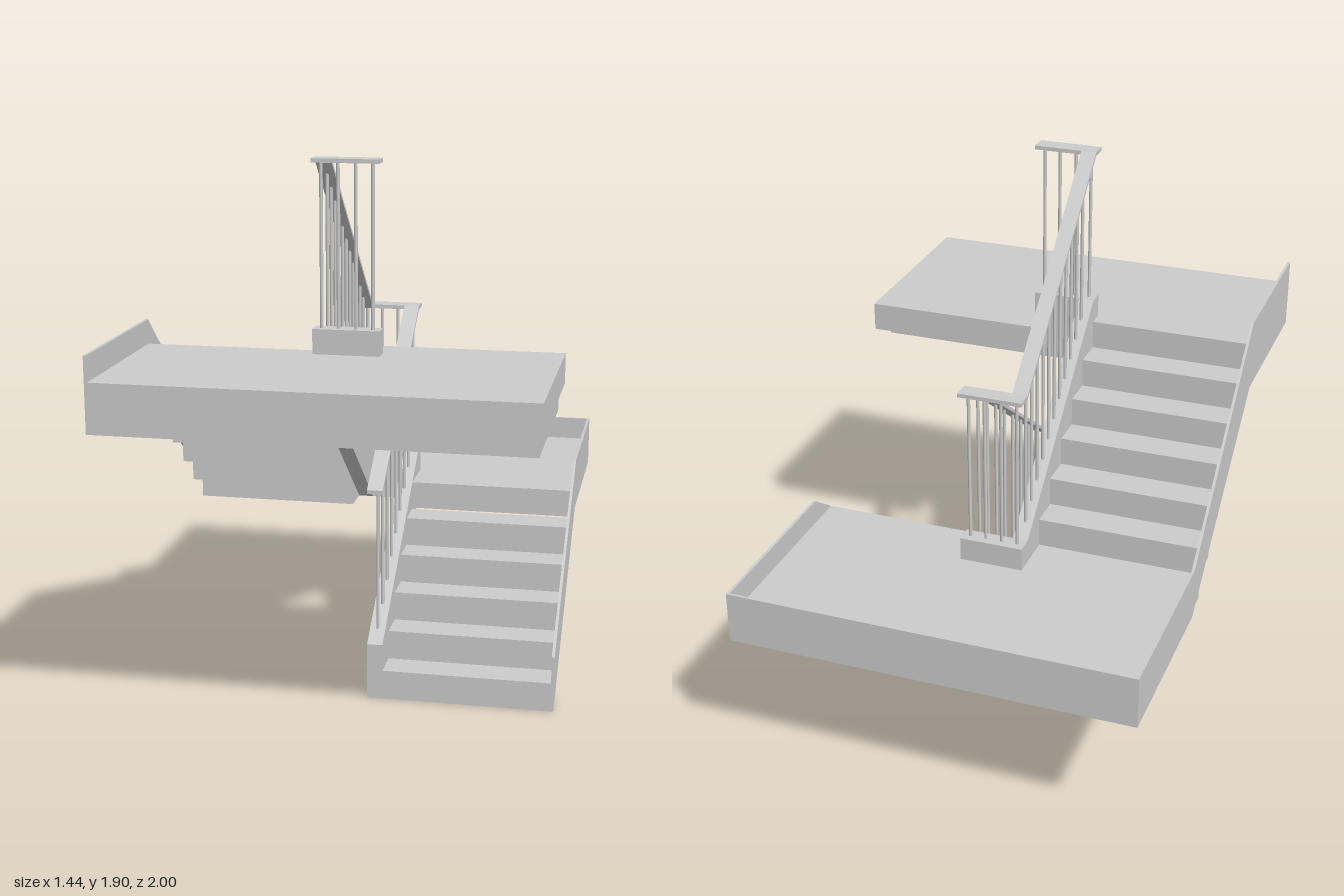
import * as THREE from 'three';

const material = new THREE.MeshStandardMaterial({ color: 0xcccccc, flatShading: true });
const smooth = new THREE.MeshStandardMaterial({ color: 0xcccccc });

const Z0 = 0.385, Z1 = -0.335;           // ends of both flights
const RISE = 0.104, TREAD = 0.12;
const IN = 0.06, CURB = 0.115, WALL = 0.71, OUT = 0.72;

export function createModel() {
  const model = new THREE.Group();

  const add = (parent, name, geometry, mat = material) => {
    const mesh = new THREE.Mesh(geometry, mat);
    mesh.name = name;
    parent.add(mesh);
    return mesh;
  };
  // Box given by its limits
  const box = (parent, name, x0, x1, y0, y1, z0, z1) =>
    add(parent, name, new THREE.BoxGeometry(x1 - x0, y1 - y0, z1 - z0))
      .position.set((x0 + x1) / 2, (y0 + y1) / 2, (z0 + z1) / 2);
  // Side profile of [z, y] points, extruded from x0 to x1
  const profile = (parent, name, points, x0, x1) => {
    const shape = new THREE.Shape(points.map(([z, y]) => new THREE.Vector2(z, y)));
    const geometry = new THREE.ExtrudeGeometry(shape, { depth: x1 - x0, bevelEnabled: false });
    geometry.rotateY(-Math.PI / 2).translate(x1, 0, 0);
    add(parent, name, geometry);
  };
  const group = (name) => {
    const g = new THREE.Group();
    g.name = name;
    model.add(g);
    return g;
  };

  // Steps
  const lower = group('lowerFlight');
  const upper = group('upperFlight');
  for (let i = 0; i < 5; i++) {
    const zl = Z0 - TREAD * i, yl = RISE * i;
    box(lower, 'step', CURB, WALL, yl, yl + RISE, zl - TREAD, zl);
    const zu = -0.215 + TREAD * i, yu = 0.625 + RISE * i;
    box(upper, 'step', -WALL, -CURB, yu, yu + RISE, zu, zu + TREAD);
  }

  // Inner stringers beside the stairwell
  profile(lower, 'innerStringer', [[Z0, 0], [Z0, 0.2], [Z1, 0.71], [Z1, 0.525]], IN, CURB);
  profile(upper, 'innerStringer', [[Z0, 1.08], [Z0, 1.335], [Z1, 0.71], [Z1, 0.525]], -CURB, -IN);

  // Thin outer stringers running on as landing skirts
  profile(lower, 'outerStringer',
    [[Z0, 0], [Z0, 0.2], [Z1, 0.71], [-1, 0.71], [-1, 0.525], [Z1, 0.525]], WALL, OUT);
  profile(upper, 'outerStringer',
    [[1, 1.08], [1, 1.335], [Z0, 1.335], [Z1, 0.71], [-1, 0.71], [-1, 0.525], [Z1, 0.525], [Z0, 1.08]],
    -OUT, -WALL);

  // Middle landing
  const middle = group('middleLanding');
  box(middle, 'floor', -WALL, WALL, 0.525, 0.625, -0.99, Z1);
  box(middle, 'arrivalFloor', CURB, WALL, 0.525, 0.625, Z1, -0.215);
  box(middle, 'departureFloor', -WALL, -CURB, 0.525, 0.625, Z1, -0.215);
  box(middle, 'backSkirt', -WALL, WALL, 0.525, 0.71, -1, -0.99);
  box(middle, 'curb', -CURB, CURB, 0.525, 0.71, -0.4, Z1);

  // Top landing
  const top = group('topLanding');
  box(top, 'underFloor', -WALL, WALL, 1.08, 1.145, Z0, 1);
  box(top, 'floor', -WALL, OUT, 1.145, 1.249, Z0, 1);
  box(top, 'departureFloor', IN, OUT, 1.145, 1.249, 0.265, Z0);
  box(top, 'curb', -CURB, CURB, 1.145, 1.335, Z0, 0.445);

  // Railings: sloped handrail, level end piece and balusters
  const railing = (name, side, count, stringer, rail, levelZ) => {
    const g = group(name);
    const T = 0.014;
    const [x0, x1] = side > 0 ? [IN, CURB] : [-CURB, -IN];
    profile(g, 'slopedHandrail',
      [[Z0, rail[0] - T], [Z0, rail[0]], [Z1, rail[1]], [Z1, rail[1] - T]], x0, x1);
    const end = levelZ > 0 ? 0 : 1;
    box(g, 'levelHandrail', -CURB, CURB, rail[end] - T, rail[end],
      Math.min(levelZ, end ? Z1 : Z0), Math.max(levelZ, end ? Z1 : Z0));
    const baluster = (x, z, y0, y1) =>
      add(g, 'baluster', new THREE.CylinderGeometry(0.006, 0.006, y1 - y0, 10), smooth)
        .position.set(x, (y0 + y1) / 2, z);
    for (let i = 0; i < count; i++) {
      const z = THREE.MathUtils.lerp(0.325, -0.28, i / (count - 1));
      const t = (Z0 - z) / (Z0 - Z1);
      const at = ([a, b]) => THREE.MathUtils.lerp(a, b, t);
      baluster(side * 0.0875, z, at(stringer) - 0.008, at(rail) - T / 2);
    }
    const zEnd = (levelZ + (end ? Z1 : Z0)) / 2;
    for (const x of [-0.0875, -0.03, 0.03, 0.0875]) baluster(x, zEnd, stringer[end], rail[end] - T / 2);
  };
  railing('lowerRailing', 1, 8, [0.2, 0.71], [0.765, 1.28], -0.4);
  railing('upperRailing', -1, 11, [1.335, 0.71], [1.905, 1.28], 0.45);

  return model;
}
